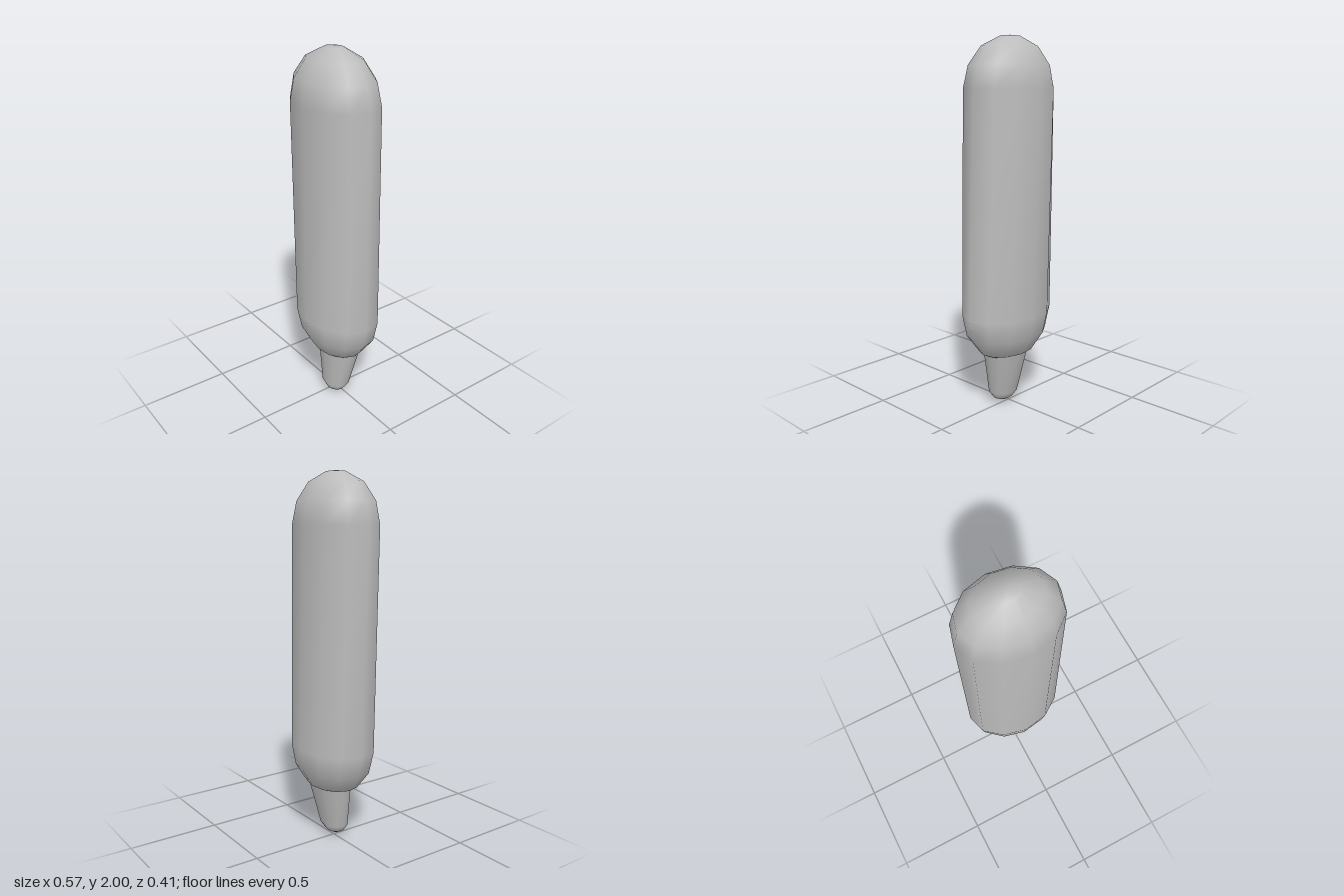
import * as THREE from 'three';
import { mergeVertices } from 'three/addons/utils/BufferGeometryUtils.js';

const SIDES = 12;

// Smooth skin over elliptical rings listed upward: [y, radiusX, radiusZ, centreX, centreZ, turn]
function loft(rings) {
  const pos = [], index = [];
  for (const [y, rx, rz, cx, cz, turn] of rings) {
    for (let j = 0; j < SIDES; j++) {
      const a = (j / SIDES) * Math.PI * 2 + turn;
      pos.push(cx + rx * Math.cos(a), y, cz + rz * Math.sin(a));
    }
  }
  for (let i = 0; i < rings.length - 1; i++) {
    for (let j = 0; j < SIDES; j++) {
      const k = (j + 1) % SIDES;
      const a = i * SIDES + j, b = i * SIDES + k, c = a + SIDES, d = b + SIDES;
      index.push(a, c, b, b, c, d);
    }
  }
  let geo = new THREE.BufferGeometry();
  geo.setAttribute('position', new THREE.Float32BufferAttribute(pos, 3));
  geo.setIndex(index);
  geo = mergeVertices(geo, 1e-5);
  geo.computeVertexNormals();
  return geo;
}

export function createModel() {
  const group = new THREE.Group();
  const grey = new THREE.MeshStandardMaterial({ color: 0xbcbcbc });
  grey.name = 'grey';

  const add = (name, geo) => {
    const mesh = new THREE.Mesh(geo, grey);
    mesh.name = name;
    group.add(mesh);
  };

  // Long oval body with rounded ends, leaning and twisting slightly
  const bodyProfile = [
    [0.265, 0], [0.27, 0.22], [0.312, 0.62], [0.41, 0.9], [0.53, 1],
    [1.73, 1], [1.847, 0.9], [1.942, 0.63], [1.995, 0.22], [2, 0],
  ];
  add('body', loft(bodyProfile.map(([y, s]) => {
    const lean = (1.13 - y) / 0.6;
    return [y, 0.275 * s, 0.206 * s, 0.011 * lean, 0, 0.05 * lean];
  })));

  // Tapered tip, its open top buried in the body
  const tipProfile = [[0, 0], [0.006, 0.25], [0.026, 0.68], [0.065, 1], [0.36, 1.62]];
  add('tip', loft(tipProfile.map(([y, s]) => {
    const t = y / 0.3;
    return [y, 0.09 * s, 0.072 * s, 0.02 + 0.005 * t, 0.025 - 0.03 * t, 0];
  })));

  return group;
}
